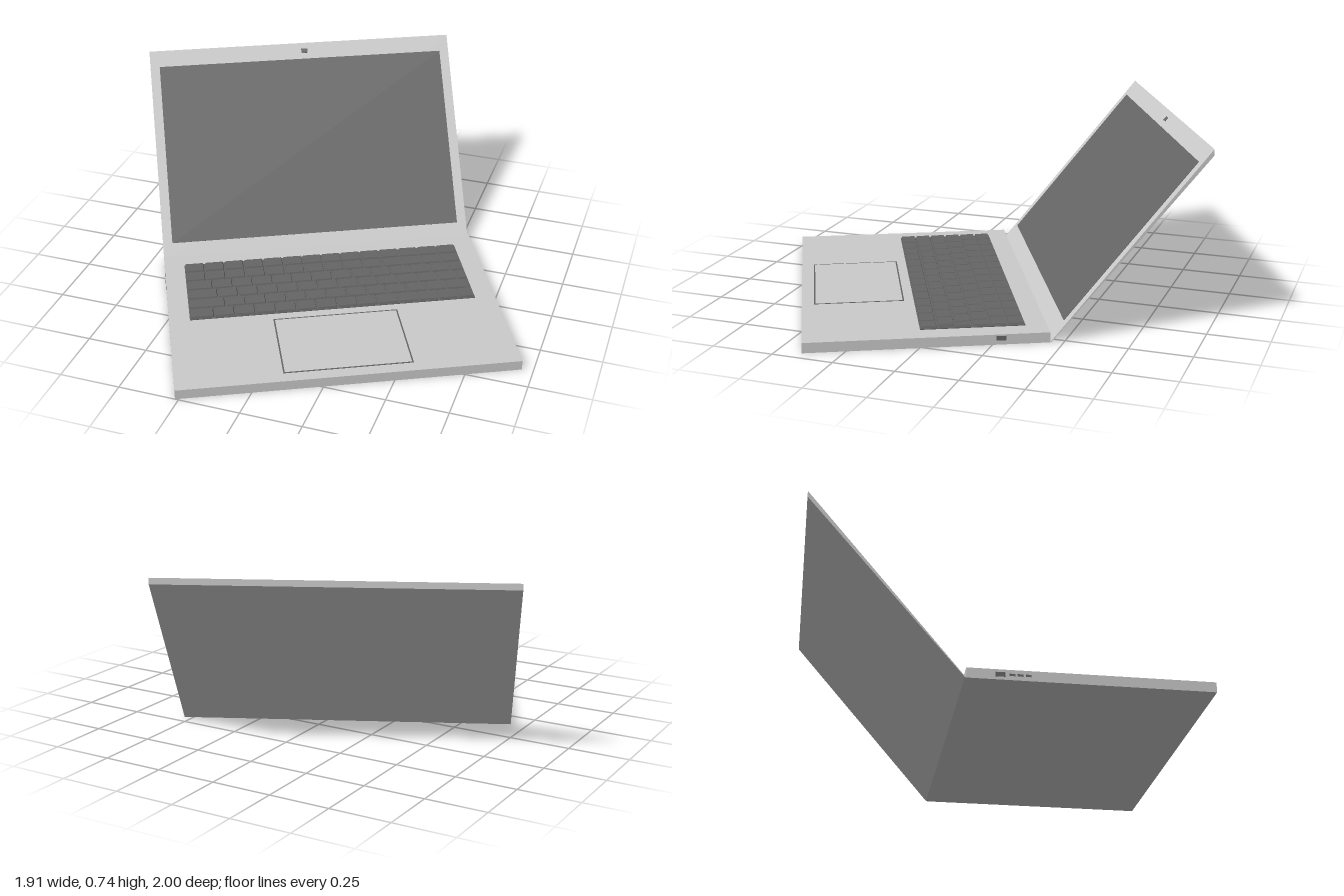
import * as THREE from 'three';

const grey = new THREE.MeshStandardMaterial({ color: 0xcccccc, flatShading: true });
const dark = new THREE.MeshStandardMaterial({ color: 0x666666, flatShading: true });

function add(parent, name, geometry, material, x = 0, y = 0, z = 0) {
  const mesh = new THREE.Mesh(geometry, material);
  mesh.name = name;
  mesh.position.set(x, y, z);
  parent.add(mesh);
  return mesh;
}

// Box whose top face is narrower than its foot
function keyGeometry(w, h, d, inset) {
  const g = new THREE.BoxGeometry(w, h, d);
  const p = g.attributes.position;
  for (let i = 0; i < p.count; i++) {
    if (p.getY(i) > 0) {
      p.setX(i, p.getX(i) - Math.sign(p.getX(i)) * inset);
      p.setZ(i, p.getZ(i) - Math.sign(p.getZ(i)) * inset);
    }
  }
  g.computeVertexNormals();
  return g;
}

export function createModel() {
  const model = new THREE.Group();
  const laptop = new THREE.Group();
  laptop.name = 'laptop';
  laptop.rotation.y = 0.459;
  model.add(laptop);

  const W = 1.36, T = 0.041, back = -0.167, front = 0.78;

  // Base slab
  add(laptop, 'base', new THREE.BoxGeometry(W, T, front - back), grey, 0, T / 2, (front + back) / 2);

  // Keyboard: six staggered rows, half-shifted rows ending in narrower and wider keys
  const keyboard = new THREE.Group();
  keyboard.name = 'keyboard';
  laptop.add(keyboard);
  const kw = 1.19, kTop = -0.083, rows = 6, cols = 14;
  const rowD = 0.41 / rows, colW = kw / cols, gap = 0.004;
  add(keyboard, 'keyBed', new THREE.BoxGeometry(kw, 0.004, 0.41), dark, 0, T + 0.001, kTop + 0.205);
  for (let r = 0; r < rows; r++) {
    const shift = [0, 0, 0.3, 0.5, 0.8, 0.2][r] * colW;
    for (let c = 0; c < cols; c++) {
      const a = c === 0 ? 0 : c * colW + shift;
      const b = c === cols - 1 ? kw : (c + 1) * colW + shift;
      add(keyboard, 'key', keyGeometry(b - a - gap, 0.012, rowD - gap, 0.004), dark,
        (a + b) / 2 - kw / 2, T + 0.006, kTop + (r + 0.5) * rowD);
    }
  }

  // Trackpad: thin rim around a flat plate
  const rim = new THREE.Shape();
  const rect = (path, w, h) => path.moveTo(-w, -h).lineTo(w, -h).lineTo(w, h).lineTo(-w, h).closePath();
  rect(rim, 0.257, 0.182);
  const hole = new THREE.Path();
  rect(hole, 0.251, 0.176);
  rim.holes.push(hole);
  const rimGeo = new THREE.ExtrudeGeometry(rim, { depth: 0.001, bevelEnabled: false }).rotateX(-Math.PI / 2);
  add(laptop, 'trackpadRim', rimGeo, dark, 0, T, 0.548);
  add(laptop, 'trackpad', new THREE.BoxGeometry(0.502, 0.001, 0.352), grey, 0, T + 0.0005, 0.548);

  // Side sockets
  add(laptop, 'powerSocket', new THREE.BoxGeometry(0.002, 0.018, 0.036), dark, -W / 2, 0.021, -0.04);
  for (let i = 0; i < 3; i++) {
    add(laptop, 'smallSocket', new THREE.BoxGeometry(0.002, 0.009, 0.022), dark, -W / 2, 0.021, 0.005 + i * 0.03);
  }
  add(laptop, 'sideSocket', new THREE.BoxGeometry(0.002, 0.018, 0.04), dark, W / 2, 0.026, 0.022);

  // Lid: wedge that thickens from the hinge to the top edge
  const lid = new THREE.Group();
  lid.name = 'lid';
  lid.position.set(0, 0, back);
  lid.rotation.x = -0.69;
  laptop.add(lid);
  const side = new THREE.Shape([[0, 0], [0.965, 0], [0.946, -0.016], [0.004, -0.003]]
    .map(([y, z]) => new THREE.Vector2(z, y)));
  const lidGeo = new THREE.ExtrudeGeometry(side, { depth: W, bevelEnabled: false })
    .rotateY(-Math.PI / 2).translate(W / 2, 0, 0);
  add(lid, 'lidShell', lidGeo, grey);
  add(lid, 'screen', new THREE.BoxGeometry(1.278, 0.798, 0.003), dark, 0, 0.492, 0);
  add(lid, 'camera', new THREE.BoxGeometry(0.028, 0.02, 0.004), dark, 0.018, 0.928, 0);

  return model;
}
